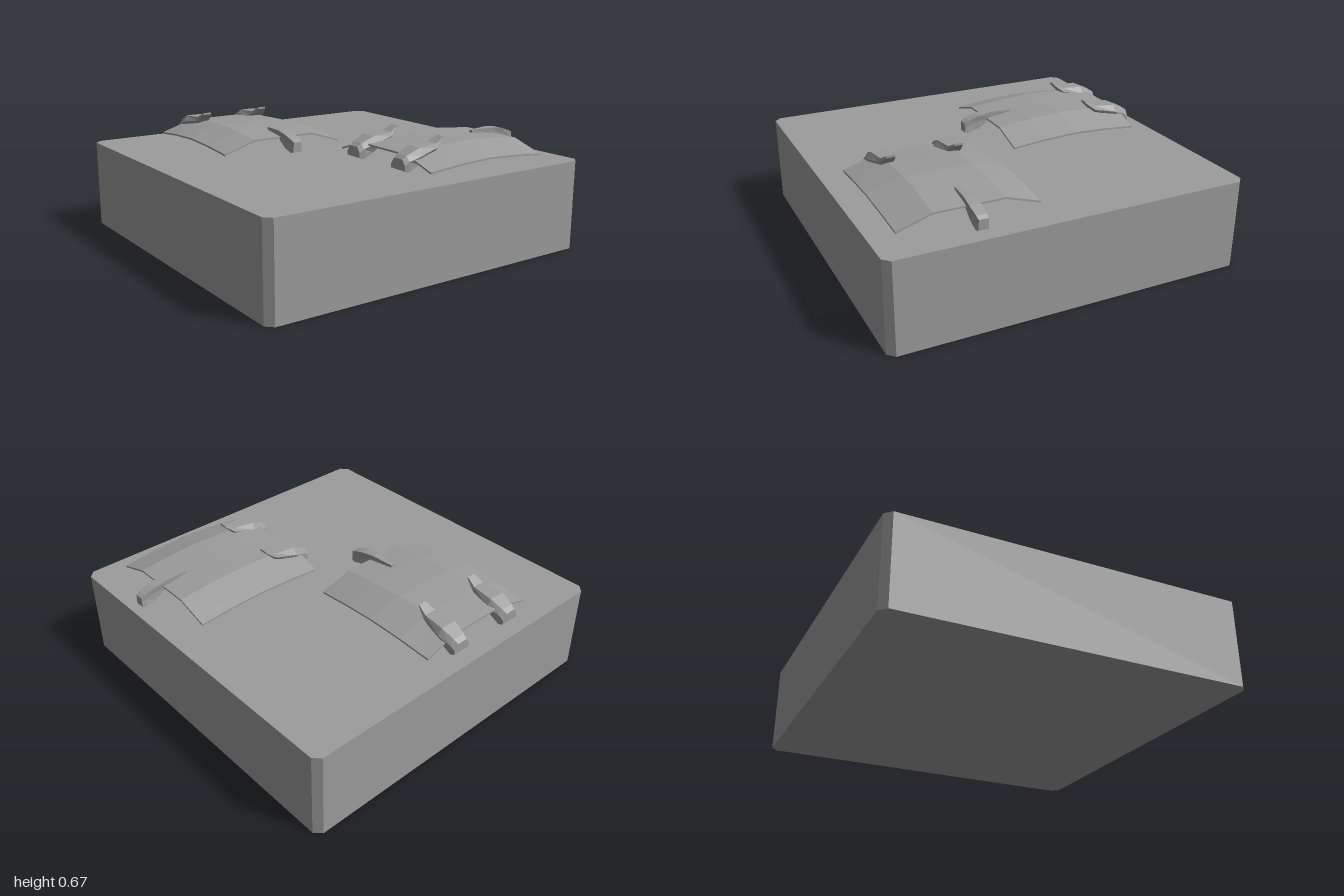
import * as THREE from 'three';

const material = new THREE.MeshStandardMaterial({ color: 0x9c9c9c, flatShading: true });

// Closed solid through rings of [x, y, z]; rings run counterclockwise seen from +z
// (bottom left to right, then top right to left) and follow each other towards +z.
function loft(rings) {
  const n = rings[0].length;
  const last = (rings.length - 1) * n;
  const index = [];
  const quad = (a, b, c, d) => index.push(a, b, c, a, c, d);
  for (let i = 0; i < rings.length - 1; i++) {
    for (let j = 0; j < n; j++) {
      const k = (j + 1) % n;
      quad(i * n + j, i * n + k, (i + 1) * n + k, (i + 1) * n + j);
    }
  }
  for (let j = 0; j < n / 2 - 1; j++) {
    const c = [j, j + 1, n - 2 - j, n - 1 - j];
    quad(c[3], c[2], c[1], c[0]);
    quad(...c.map((v) => v + last));
  }
  const geometry = new THREE.BufferGeometry();
  geometry.setAttribute('position', new THREE.Float32BufferAttribute(rings.flat(2), 3));
  geometry.setIndex(index);
  const flat = geometry.toNonIndexed();
  flat.computeVertexNormals();
  return flat;
}

function part(name, geometry, parent) {
  const mesh = new THREE.Mesh(geometry, material);
  mesh.name = name;
  parent.add(mesh);
  return mesh;
}

// Six-sided section: z, then heights and half widths of bottom, middle and top
const hexRing = ([z, yb, ym, yt, wb, wm, wt]) => [
  [-wb, yb, z], [wb, yb, z], [wm, ym, z], [wt, yt, z], [-wt, yt, z], [-wm, ym, z],
];

// Thin curved sheet: flat crown with drooping sides, arched along its length
function sheetGeometry() {
  const thickness = 0.01;
  const rows = [[-0.393, 0.028, 0], [-0.2, 0.009, 0.005], [0, 0, 0.007], [0.2, 0.009, 0.005], [0.393, 0.028, 0]];
  return loft(rows.map(([z, drop, bulge]) => {
    const edge = 0.378 + bulge;
    const top = [[-edge, 0.565], [-0.19, 0.624], [0.19, 0.624], [edge, 0.565]]
      .map(([x, y]) => [x, y - drop, z]);
    const bottom = top.map(([x, y]) => [x, y - thickness, z]);
    return [...bottom, ...top.reverse()];
  }));
}

// Wide clamp gripping the rear edge, broadest near its back and tapering to a raised tip
const wideClamp = [
  [-0.45, 0.525, 0.55, 0.582, 0.055, 0.055, 0.032],
  [-0.425, 0.515, 0.57, 0.6, 0.057, 0.06, 0.037],
  [-0.35, 0.545, 0.595, 0.633, 0.05, 0.071, 0.048],
  [-0.225, 0.602, 0.618, 0.64, 0.032, 0.045, 0.036],
  [-0.167, 0.658, 0.662, 0.67, 0.024, 0.026, 0.024],
];

// Slim clamp gripping the front edge, slightly waisted
const slimClamp = [
  [0.235, 0.605, 0.615, 0.626, 0.01, 0.012, 0.011],
  [0.37, 0.585, 0.605, 0.63, 0.02, 0.022, 0.023],
  [0.45, 0.54, 0.585, 0.62, 0.027, 0.025, 0.031],
  [0.515, 0.525, 0.565, 0.598, 0.031, 0.026, 0.028],
  [0.537, 0.53, 0.555, 0.585, 0.027, 0.024, 0.025],
];

function clampedSheet(name) {
  const group = new THREE.Group();
  group.name = name;
  part('curvedSheet', sheetGeometry(), group);
  const rear = loft(wideClamp.map(hexRing));
  for (const side of [-1, 1]) {
    part(side < 0 ? 'rightRearClamp' : 'leftRearClamp', rear, group).position.x = side * 0.19;
  }
  part('frontClamp', loft(slimClamp.map(hexRing)), group);
  return group;
}

export function createModel() {
  const model = new THREE.Group();
  model.name = 'blockWithClampedSheets';

  // Square block with chamfered upright corners
  const c = 0.037;
  const outline = new THREE.Shape([
    [-1, -1 + c], [-1 + c, -1], [1 - c, -1], [1, -1 + c],
    [1, 1 - c], [1 - c, 1], [-1 + c, 1], [-1, 1 - c],
  ].map(([x, y]) => new THREE.Vector2(x, y)));
  const block = new THREE.ExtrudeGeometry(outline, { depth: 0.5, bevelEnabled: false });
  part('block', block.rotateX(-Math.PI / 2), model);

  // The same assembly twice, the second a quarter turn round
  const back = clampedSheet('backSheet');
  back.position.set(-0.232, 0, -0.473);
  const front = clampedSheet('frontSheet');
  front.position.set(0.422, 0, 0.498);
  front.rotation.y = Math.PI / 2;
  model.add(back, front);

  return model;
}
